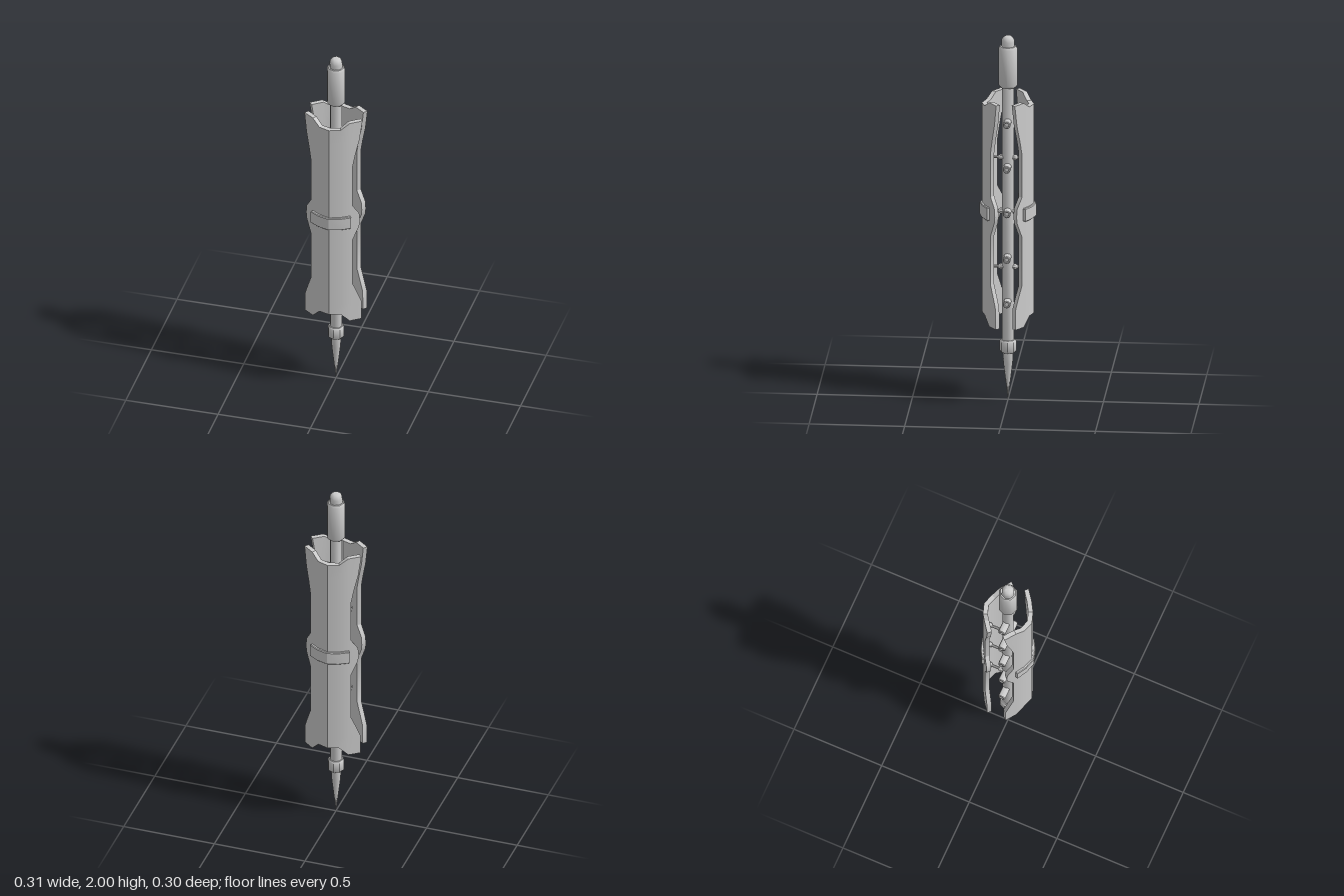
import * as THREE from 'three';
import { toCreasedNormals } from 'three/addons/utils/BufferGeometryUtils.js';

const material = new THREE.MeshStandardMaterial({ color: 0xcccccc });

function part(name, geometry, crease, parent) {
  const mesh = new THREE.Mesh(toCreasedNormals(geometry, crease), material);
  mesh.name = name;
  parent.add(mesh);
  return mesh;
}

// Turned part from [radius, height] pairs, listed bottom to top
function turned(points, sides = 8) {
  return new THREE.LatheGeometry(points.map(([r, y]) => new THREE.Vector2(r, y)), sides);
}

// Half of the panel's curved cross-section: outer [x, z] and the step to its inner face
const outer = [[0, 0.137], [0.057, 0.118], [0.1, 0.091], [0.157, 0.049]];
const inset = [[0, -0.027], [-0.008, -0.024], [-0.013, -0.021], [-0.017, -0.018]];
// Half width of the panel at each height, bottom to top
const widths = [
  [0.43, 0.153], [0.54, 0.152], [0.6, 0.133], [0.66, 0.112], [0.93, 0.112], [1.01, 0.142],
  [1.045, 0.146], [1.09, 0.142], [1.145, 0.112], [1.385, 0.112], [1.46, 0.125], [1.545, 0.143],
  [1.66, 0.157],
];

// Curved plate lofted through rings of 14 points, with notched ends
function panelGeometry() {
  const positions = [], index = [], last = widths.length - 1, ring = 14;
  const columns = [-3, -2, -1, 0, 1, 2, 3];
  const quad = (a, b, c, d) => index.push(a, b, c, a, c, d);
  widths.forEach(([level, width], row) => {
    const add = (column, inner) => {
      const k = Math.abs(column), side = Math.sign(column);
      let [x, z] = outer[k];
      if (k === 3) {
        const t = (width - 0.1) / 0.057;
        x = width;
        z = THREE.MathUtils.lerp(outer[2][1], outer[3][1], t);
      }
      if (inner) { x += inset[k][0]; z += inset[k][1]; }
      let y = level;
      if (k < 2 && row === 0) y = 0.48;
      if (k < 2 && row === last) y = 1.627;
      positions.push(side * x, y, z);
    };
    columns.forEach(c => add(c, false));
    [...columns].reverse().forEach(c => add(c, true));
  });
  for (let r = 0; r < last; r++) {
    for (let i = 0; i < ring; i++) {
      const j = (i + 1) % ring, a = r * ring, b = a + ring;
      quad(a + i, a + j, b + j, b + i);
    }
  }
  for (let c = 0; c < 6; c++) {
    const t = last * ring;
    quad(t + c, t + c + 1, t + 12 - c, t + 13 - c);
    quad(13 - c, 12 - c, c + 1, c);
  }
  const geometry = new THREE.BufferGeometry();
  geometry.setAttribute('position', new THREE.Float32BufferAttribute(positions, 3));
  geometry.setIndex(index);
  return geometry;
}

// Raised strap that follows the panel's curve
function bandGeometry() {
  const front = [[-0.104, 0.1], [-0.058, 0.127], [0, 0.144], [0.058, 0.127], [0.104, 0.1]];
  const back = front.map(([x, z]) => [x * 0.94, z - 0.02]).reverse();
  const shape = new THREE.Shape([...front, ...back].map(([x, z]) => new THREE.Vector2(x, -z)));
  const geometry = new THREE.ExtrudeGeometry(shape, {
    depth: 0.065, bevelEnabled: true, bevelSize: 0.004, bevelThickness: 0.004, bevelSegments: 1,
  });
  return geometry.rotateX(-Math.PI / 2).translate(0, 1.015, 0);
}

export function createModel() {
  const model = new THREE.Group();
  model.name = 'spikedStaff';

  // Central rod, pointed foot, collar and grip
  part('shaft', turned([[0, 0.3], [0.032, 0.3], [0.032, 1.74], [0, 1.74]]), 0.9, model);
  part('spike', turned([[0, 0], [0.024, 0.2], [0.028, 0.255], [0.028, 0.29], [0, 0.29]]), 0.9, model);
  part('collar', turned([[0, 0.262], [0.038, 0.262], [0.044, 0.27], [0.044, 0.322],
    [0.038, 0.33], [0, 0.33]]), 0.7, model);
  part('grip', turned([[0, 1.717], [0.043, 1.717], [0.05, 1.728], [0.05, 1.927],
    [0.043, 1.94], [0, 1.94]]), 0.9, model);
  const dome = [[0.035, 1.93], [0.035, 1.965]];
  for (let i = 1; i <= 4; i++) {
    const a = i * Math.PI / 8;
    dome.push([i === 4 ? 0 : 0.035 * Math.cos(a), 1.965 + 0.035 * Math.sin(a)]);
  }
  part('domeCap', turned(dome), 0.9, model);

  // Cross pegs with recessed ends
  for (const y of [0.545, 0.79, 1.04, 1.285, 1.53]) {
    const profile = [[0, -0.077], [0.01, -0.077], [0.011, -0.085], [0.017, -0.085], [0.02, -0.081],
      [0.02, 0.081], [0.017, 0.085], [0.011, 0.085], [0.01, 0.077], [0, 0.077]];
    part('crossPeg', turned(profile, 12), 0.6, model)
      .geometry.rotateZ(-Math.PI / 2).translate(0, y, 0);
  }

  // Front and back shells with their strap and struts
  for (const [name, turn] of [['frontShell', 0], ['backShell', Math.PI]]) {
    const shell = new THREE.Group();
    shell.name = name;
    shell.rotation.y = turn;
    part('panel', panelGeometry(), 0.5, shell);
    part('band', bandGeometry(), 0.5, shell);
    for (const y of [0.73, 1.035, 1.33]) {
      const profile = [[0, 0.02], [0.008, 0.02], [0.008, 0.09], [0.013, 0.09], [0.016, 0.113], [0, 0.113]];
      part('strut', turned(profile), 0.9, shell)
        .geometry.rotateX(Math.PI / 2).translate(0, y, 0);
      part('strutCollar', turned([[0, 0.025], [0.016, 0.025], [0.016, 0.04], [0.009, 0.052], [0, 0.052]]), 0.7, shell)
        .geometry.rotateX(Math.PI / 2).translate(0, y, 0);
    }
    model.add(shell);
  }
  return model;
}
